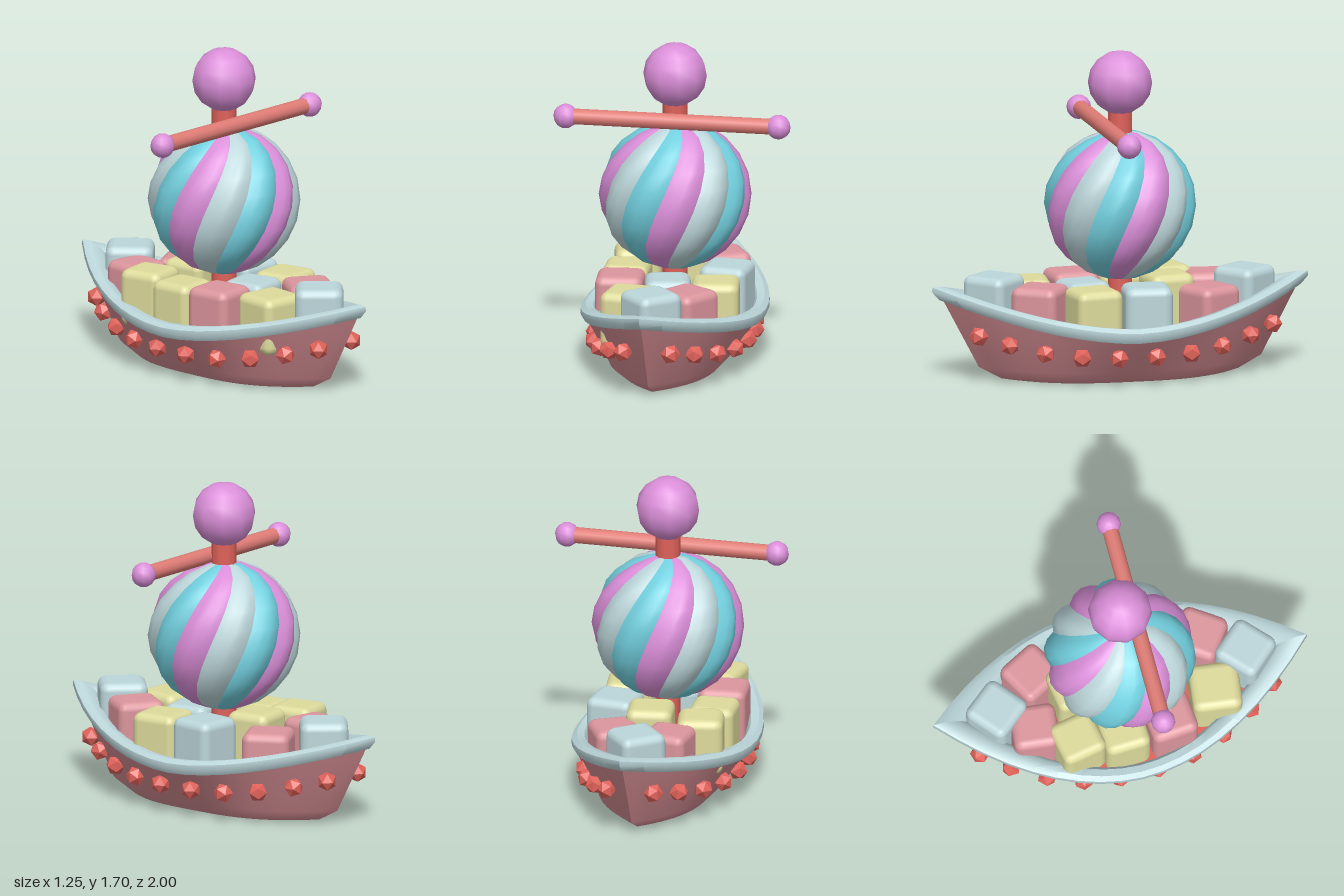
import * as THREE from 'three';
import { toCreasedNormals } from 'three/addons/utils/BufferGeometryUtils.js';
import { RoundedBoxGeometry } from 'three/addons/geometries/RoundedBoxGeometry.js';

const mat = (name, color) => {
  const m = new THREE.MeshStandardMaterial({ color });
  m.name = name;
  return m;
};

// Smooth surface from a rule fn(u, v) -> [x, y, z]
function grid(nu, nv, fn) {
  const pos = [], idx = [];
  for (let j = 0; j <= nv; j++)
    for (let i = 0; i <= nu; i++) pos.push(...fn(i / nu, j / nv, j));
  for (let j = 0; j < nv; j++)
    for (let i = 0; i < nu; i++) {
      const a = j * (nu + 1) + i, b = a + 1, c = a + nu + 1, d = c + 1;
      idx.push(a, b, d, a, d, c);
    }
  const g = new THREE.BufferGeometry();
  g.setAttribute('position', new THREE.Float32BufferAttribute(pos, 3));
  g.setIndex(idx);
  g.computeVertexNormals();
  return g;
}

export function createModel() {
  const model = new THREE.Group();
  model.name = 'candyBoat';
  const pale = mat('pale blue', 0xbcd6da);
  const rose = mat('rose', 0xdc969d);
  const violet = mat('violet', 0xdb8fd9);
  const cyan = mat('cyan', 0x72cfde);
  const red = mat('red', 0xe0625a);
  const coral = mat('coral', 0xe07c76);
  const yellow = mat('pale yellow', 0xdedb9c);
  const hullMat = mat('hull rose', 0xd08a90);
  hullMat.side = THREE.DoubleSide;

  const add = (name, geo, material, x = 0, y = 0, z = 0) => {
    const m = new THREE.Mesh(geo, material);
    m.name = name;
    m.position.set(x, y, z);
    model.add(m);
    return m;
  };

  // Height of the rim along the boat, rising to bow and stern
  const sheer = z => 0.28 + 0.2 * Math.abs(z) ** 1.7;
  const lens = (t, p) => 1 - Math.abs(t) ** p;

  // Hull rings: half width, half length, fullness, height (null follows the rim)
  const rings = [[0.25, 0.63, 3, 0], [0.31, 0.75, 3, 0.065], [0.45, 0.95, 2.2, null]];
  // Rim section: fraction inwards, height offset
  const section = [[0.2, -0.04], [0, -0.01], [0.02, 0.015], [0.3, 0.035],
    [0.75, 0.03], [1, 0], [1, -0.04], [0.2, -0.04]];

  for (const s of [1, -1]) {
    const side = s > 0 ? 'left' : 'right';
    add(side + 'Hull', grid(24, 2, (u, v, j) => {
      const [w, l, p, y] = rings[j], t = s * (1 - 2 * u), z = l * t;
      return [s * w * lens(t, p), y ?? sheer(z) - 0.02, z];
    }), hullMat);

    add(side + 'Rim', toCreasedNormals(grid(18, section.length - 1, (u, v, j) => {
      const [k, dy] = section[j], t = s * (1 - 2 * u), z = t * (1 - 0.19 * k);
      return [s * (0.48 - 0.085 * k) * lens(t, 2), sheer(z) + dy, z];
    }), 0.75), pale);

    // Row of studs along the hull
    for (const [x, y, z] of [[0.4, 0.155, 0.1], [0.37, 0.16, 0.29], [0.31, 0.18, 0.47],
      [0.225, 0.215, 0.64], [0.125, 0.25, 0.78]])
      for (const e of [1, -1]) {
        const geo = new THREE.IcosahedronGeometry(0.052, 0);
        geo.rotateY(z * 5);
        add(side + 'Stud', toCreasedNormals(geo, 0.4), red, s * x, y, e * z);
      }
  }

  // Flat bottom and inner deck
  const plate = (w, l, p, y, up) => grid(24, 2, (u, v) => {
    const t = 2 * u - 1;
    return [(up ? 1 : -1) * (2 * v - 1) * w * lens(t, p), y, l * t];
  });
  add('hullBottom', plate(0.25, 0.63, 3, 0, false), hullMat);
  add('deck', plate(0.38, 0.82, 2.4, 0.2, true), red);

  // Cargo blocks: material, x, top height, z, yaw, size
  const blocks = [
    [pale, 0, 0.55, 0.67, 0.75, 0.25], [pale, 0, 0.54, -0.66, 0.7, 0.25],
    [yellow, -0.15, 0.5, 0.47, -0.12, 0.26], [rose, 0.15, 0.51, 0.46, -0.6, 0.25],
    [rose, -0.25, 0.51, 0.2, 0.1, 0.25], [yellow, 0.25, 0.5, 0.2, 0.15, 0.25],
    [yellow, -0.26, 0.5, -0.05, 0.05, 0.24], [pale, 0.26, 0.51, -0.08, -0.1, 0.25],
    [yellow, -0.25, 0.52, -0.29, 0.2, 0.24], [rose, -0.13, 0.5, -0.49, -0.1, 0.24],
    [rose, 0.17, 0.48, -0.43, 0.5, 0.25], [pale, 0, 0.5, 0.2, 0.2, 0.24],
    [yellow, 0.03, 0.53, -0.24, 0.15, 0.24],
  ];
  for (const [m, x, top, z, yaw, size] of blocks) {
    const b = add('cargoBlock', new RoundedBoxGeometry(size, 0.3, size, 2, 0.045), m, x, top - 0.15, z);
    b.rotation.y = yaw;
  }

  // Swirled balloon sail: twelve twisted lobes
  const lobeColours = [violet, pale, cyan];
  for (let i = 0; i < 12; i++) {
    const lobe = grid(4, 12, (u, v) => {
      const lat = (v - 0.5) * Math.PI;
      const az = (i + u) * Math.PI / 6 - 0.07 + 0.45 * lat;
      const r = 0.365 + 0.03 * Math.sin(u * Math.PI);
      const c = r * Math.cos(lat);
      return [c * Math.sin(az), 0.39 * Math.sin(lat), c * Math.cos(az)];
    });
    add('sailLobe', lobe, lobeColours[i % 3], 0, 0.89, 0);
  }

  // Mast, top ball and yard with end balls
  add('mast', new THREE.CylinderGeometry(0.065, 0.065, 1.22, 10), red, 0, 0.81, 0);
  add('mastBall', new THREE.SphereGeometry(0.167, 10, 8), violet, 0, 1.53, 0);
  const yard = add('yard', new THREE.CylinderGeometry(0.042, 0.042, 1.06, 12), coral, 0, 1.3, 0.085);
  yard.rotation.z = Math.PI / 2;
  for (const s of [1, -1])
    add('yardBall', new THREE.SphereGeometry(0.064, 10, 8), violet, s * 0.56, 1.3, 0.085);

  return model;
}
